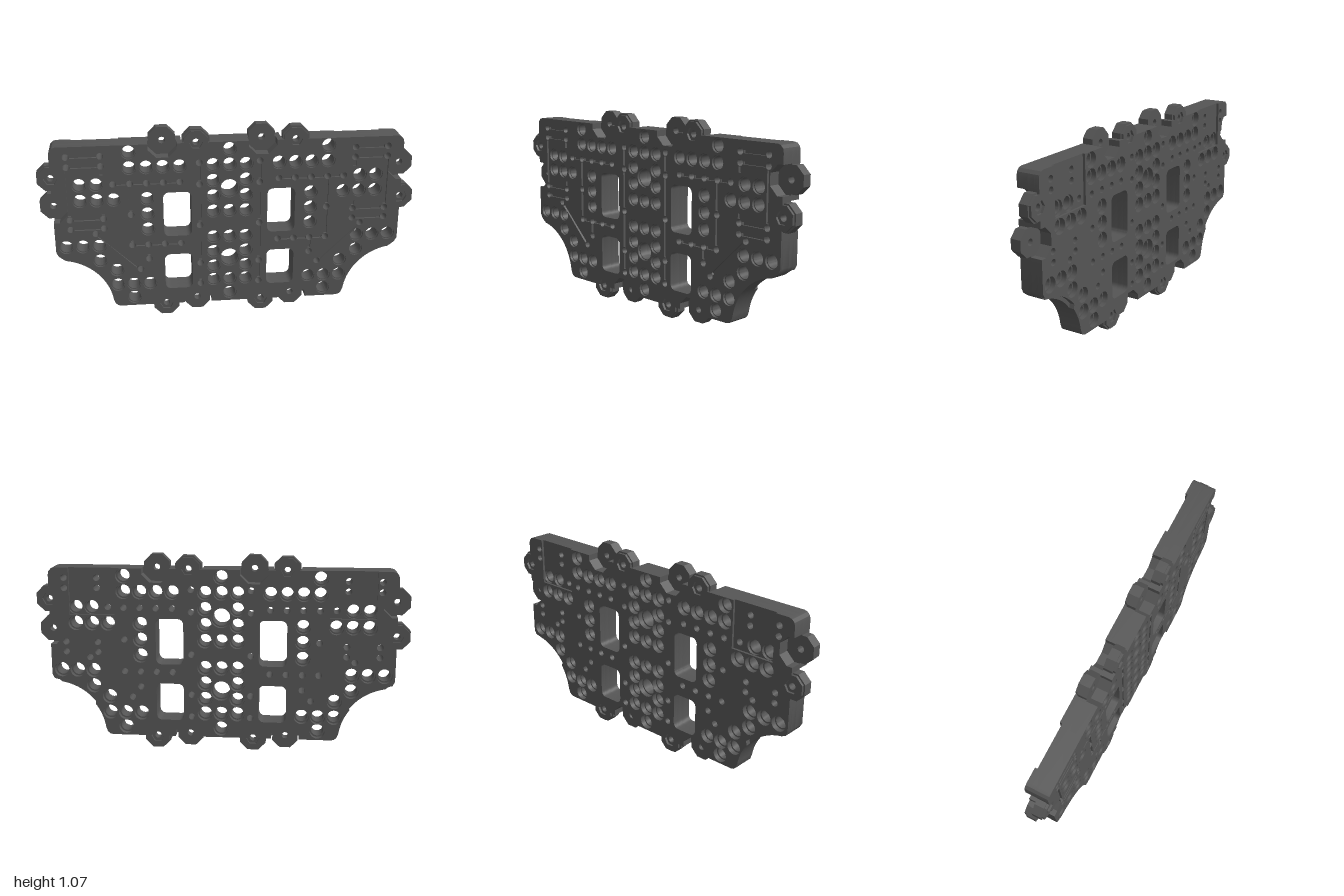
import * as THREE from 'three';
import { toCreasedNormals } from 'three/addons/utils/BufferGeometryUtils.js';

const V = (x, y) => new THREE.Vector2(x, y);
const ARC = [0.93, 0.07]; // centre of the concave lower corners
const PIN = 0.018;

// Large through holes on one side [x, y]; mirrored when x > 0
const HOLES = [
  [0, 0.96], [0, 0.875], [0, 0.6125], [0, 0.4625], [0, 0.205], [0, 0.12],
  ...[0.875, 0.7875, 0.7, 0.6125, 0.4625, 0.375, 0.2875, 0.205].map(y => [0.0875, y]),
  [0.525, 0.96], ...[0.525, 0.4375, 0.35, 0.2625].map(x => [x, 0.875]),
  [0.7875, 0.7875], [0.7, 0.7875], [0.7875, 0.7], [0.7, 0.7], [0.6125, 0.7],
  [0.4375, 0.7], [0.4375, 0.6125], [0.4375, 0.525],
  [0.875, 0.4375], [0.7875, 0.4375], [0.7, 0.4375], [0.7, 0.35], [0.6125, 0.29],
  [0.6125, 0.2], [0.525, 0.2], [0.4375, 0.2], [0.525, 0.12],
];

// Groove chains: a pin hole sits at every point
const CHAINS = [
  [0.89, 0.77, 0.535, 0.31, 0.185].map(y => [0.16, y]),
  [0.6125, 0.525, 0.4375, 0.35, 0.2625].map(x => [x, 0.7875]),
  [[0.525, 0.7875], [0.525, 0.6125], [0.525, 0.435]],
  [0.525, 0.4375, 0.35, 0.2625].map(x => [x, 0.435]),
  [[0.4375, 0.435], [0.4375, 0.35]],
  [[0.715, 0.51], [0.485, 0.29]],
  ...[0.945, 0.89, 0.595, 0.54].map(y => [[0.845, y], [0.67, y]]),
  [[0.845, 0.89], [0.845, 0.595]],
];
// Short grooves that stop beside a large hole, without a pin at the far end
const STUBS = [[[0.67, 0.89], [0.67, 0.82]], [[0.67, 0.595], [0.67, 0.66]]];

// Tab positions in order around the outline, grouped by edge
const TABS = {
  bottom: [-0.35, -0.175, 0.175, 0.35].map(x => [x, 0.07]),
  right: [[0.93, 0.655], [0.93, 0.83]],
  top: [0.35, 0.175, -0.175, -0.35].map(x => [x, 1]),
  left: [[-0.93, 0.83], [-0.93, 0.655]],
};

const polygon = (x, y, r, n, turn = 0) => Array.from({ length: n }, (_, i) => {
  const a = turn + (i / n) * Math.PI * 2;
  return V(x + r * Math.cos(a), y + r * Math.sin(a));
});

const roundedWindow = (x0, x1, y0, y1, r) => {
  const pts = [];
  [[x1 - r, y1 - r], [x0 + r, y1 - r], [x0 + r, y0 + r], [x1 - r, y0 + r]].forEach(([x, y], q) => {
    for (let i = 0; i <= 5; i++) {
      const a = (q + i / 5) * Math.PI / 2;
      pts.push(V(x + r * Math.cos(a), y + r * Math.sin(a)));
    }
  });
  return pts;
};

// Slot between two pins, stopping just short of each
const slot = ([ax, ay], [bx, by]) => {
  const a = V(ax, ay), b = V(bx, by), d = b.clone().sub(a).normalize();
  const n = V(-d.y, d.x).multiplyScalar(0.008);
  a.addScaledVector(d, PIN + 0.002);
  b.addScaledVector(d, -PIN - 0.002);
  return [a.clone().sub(n), b.clone().sub(n), b.clone().add(n), a.clone().add(n)];
};

// Tabs alternate with octagonal notches; the back half swaps the two
const isTab = (i, front) => (i % 2 === 0) === front;

function outline({ front, tabSize, relief, recess }) {
  const edge = (name, dx, dy) => TABS[name].flatMap(([cx, cy], i) => {
    const tab = isTab(i, front), a = tab ? tabSize : 0.075, s = a * 0.4142, k = tab ? 1 : -1;
    return [[-a, 0], [-a, s], [-s, a], [s, a], [a, s], [a, 0]].map(([u, v]) =>
      V(cx + dx * u + dy * v * k, cy + dy * u - dx * v * k));
  });
  const side = [V(0.6, 0.07), V(0.617, 0.074), V(0.63, 0.085)];
  for (let i = 0; i <= 28; i++) {
    const deg = 172 - i * 2.6;
    const r = relief && deg < 143 ? 0.312 : 0.293;
    const a = deg * Math.PI / 180;
    side.push(V(ARC[0] + r * Math.cos(a), ARC[1] + r * Math.sin(a)));
  }
  side.push(V(0.918, 0.386), V(0.93, 0.41));
  const corner = [V(0.93, 0.96), V(0.926, 0.98), V(0.912, 0.995), V(0.895, 1)];
  // Shallow rectangular recess open to the top edge
  if (recess) corner.push(V(0.82, 1), V(0.82, 0.746), V(0.575, 0.746), V(0.575, 1));
  const mirror = pts => pts.map(p => V(-p.x, p.y)).reverse();
  return [
    ...edge('bottom', 1, 0), ...side, ...edge('right', 0, 1), ...corner,
    ...edge('top', -1, 0), ...mirror(corner), ...edge('left', 0, -1), ...mirror(side),
  ];
}

function plateLayer(name, z0, z1, opt, material) {
  const shape = new THREE.Shape(outline(opt));
  const cut = pts => shape.holes.push(new THREE.Path(pts));
  const inRecess = (x, y) => opt.recess && x > 0.575 && x < 0.82 && y > 0.746;
  const both = (x, fn) => (x > 0 ? [1, -1] : [1]).forEach(fn);

  // Large holes and the two wide centre holes
  HOLES.forEach(([x, y]) => {
    if (!inRecess(x, y)) both(x, s => cut(polygon(s * x, y, opt.hole, 24)));
  });
  [0.74, 0.335].forEach(y => cut(polygon(0, y, opt.hole + 0.014, 28)));

  // Pin holes, once per distinct position
  const pins = new Map(CHAINS.flat().map(p => [p.join(), p]));
  pins.forEach(([x, y]) => {
    if (!inRecess(x, y)) both(x, s => cut(polygon(s * x, y, PIN, 14)));
  });

  // Four rounded windows
  [1, -1].forEach(s => [[0.478, 0.73], [0.163, 0.37]].forEach(([y0, y1]) => {
    cut(roundedWindow(s * 0.278 - 0.075, s * 0.278 + 0.075, y0, y1, 0.03));
  }));

  // Surface grooves
  if (opt.grooves) {
    [...CHAINS, ...STUBS].forEach(chain => {
      for (let i = 1; i < chain.length; i++) {
        [1, -1].forEach(s => cut(slot([s * chain[i - 1][0], chain[i - 1][1]], [s * chain[i][0], chain[i][1]])));
      }
    });
  }

  // Bolt holes in tabs, hexagonal at the outer faces
  Object.values(TABS).forEach(list => list.forEach(([x, y], i) => {
    if (isTab(i, opt.front)) cut(opt.hex ? polygon(x, y, 0.036, 6) : polygon(x, y, 0.018, 18));
  }));

  const geo = new THREE.ExtrudeGeometry(shape, { depth: z1 - z0, bevelEnabled: false });
  geo.translate(0, 0, z0);
  const mesh = new THREE.Mesh(toCreasedNormals(geo, 0.5), material);
  mesh.name = name;
  return mesh;
}

export function createModel() {
  const group = new THREE.Group();
  group.name = 'perforatedMountingPlate';
  const material = new THREE.MeshStandardMaterial({ color: 0x555555 });
  const add = (name, z0, z1, opt) => group.add(plateLayer(name, z0, z1, opt, material));

  add('frontFace', 0.05, 0.063, { front: true, tabSize: 0.062, hole: 0.038, grooves: true, hex: true });
  add('frontCore', 0, 0.05, { front: true, tabSize: 0.07, hole: 0.033 });
  add('backCore', -0.035, 0, { front: false, tabSize: 0.07, hole: 0.033 });
  add('backRelief', -0.05, -0.035, { front: false, tabSize: 0.07, hole: 0.041, relief: true });
  add('backFace', -0.063, -0.05, { front: false, tabSize: 0.062, hole: 0.041, relief: true, recess: true, hex: true });
  return group;
}
